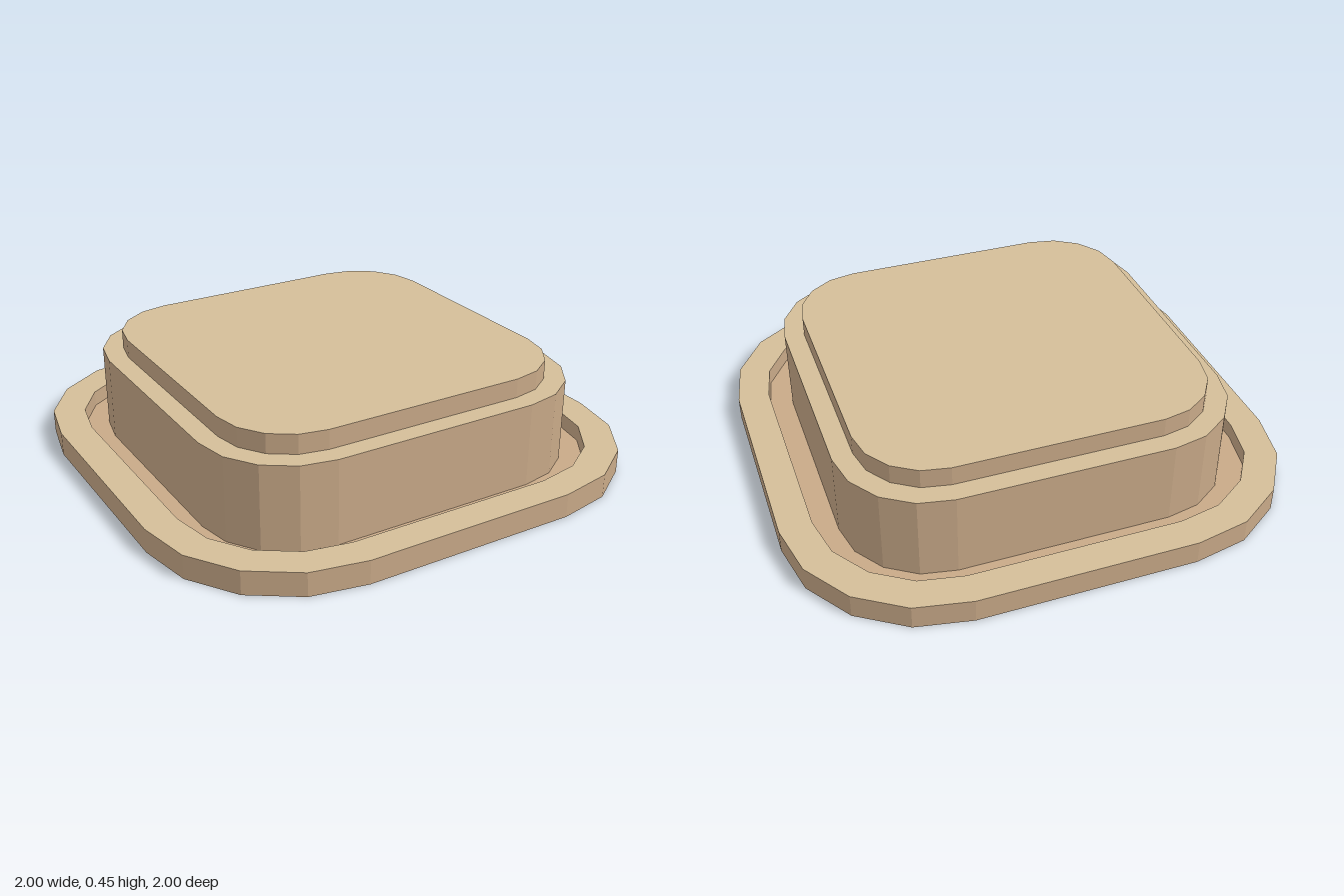
import * as THREE from 'three';

const tan = new THREE.MeshStandardMaterial({ color: 0xd4be99, flatShading: true });
const brown = new THREE.MeshStandardMaterial({ color: 0xc8a988, flatShading: true });

// Rounded square: straight sides reach to +-c, corners are arcs of four facets
function outline(half, c) {
  const points = [];
  for (let q = 0; q < 4; q++) {
    const mid = Math.PI / 4 + q * Math.PI / 2;
    const cx = Math.sign(Math.cos(mid)) * c, cy = Math.sign(Math.sin(mid)) * c;
    for (let i = 0; i <= 4; i++) {
      const a = (q + i / 4) * Math.PI / 2;
      points.push(new THREE.Vector2(cx + (half - c) * Math.cos(a), cy + (half - c) * Math.sin(a)));
    }
  }
  return points;
}

function shapeOf(outer, inner) {
  const shape = new THREE.Shape(outline(...outer));
  if (inner) shape.holes.push(new THREE.Path(outline(...inner)));
  return shape;
}

// Upright slab between two heights, with tan caps and brown walls
function slab(name, y0, y1, outer, inner) {
  const geometry = new THREE.ExtrudeGeometry(shapeOf(outer, inner), { depth: y1 - y0, bevelEnabled: false });
  geometry.rotateX(-Math.PI / 2).translate(0, y0, 0);
  const mesh = new THREE.Mesh(geometry, [tan, brown]);
  mesh.name = name;
  return mesh;
}

export function createModel() {
  const model = new THREE.Group();
  model.name = 'steppedBlock';

  const rim = [1, 0.43], groove = [0.873, 0.42], block = [0.777, 0.42], lid = [0.697, 0.41];
  const floorY = 0.03;

  model.add(
    slab('basePlate', 0, floorY, rim),
    slab('raisedRim', floorY, 0.095, rim, groove),
    slab('mainBlock', floorY, 0.37, block),
    slab('topStep', 0.37, 0.447, lid)
  );

  // Brown floor of the channel around the block
  const floor = new THREE.Mesh(new THREE.ShapeGeometry(shapeOf(groove, block)), brown);
  floor.geometry.rotateX(-Math.PI / 2).translate(0, floorY + 0.002, 0);
  floor.name = 'grooveFloor';
  model.add(floor);

  return model;
}
